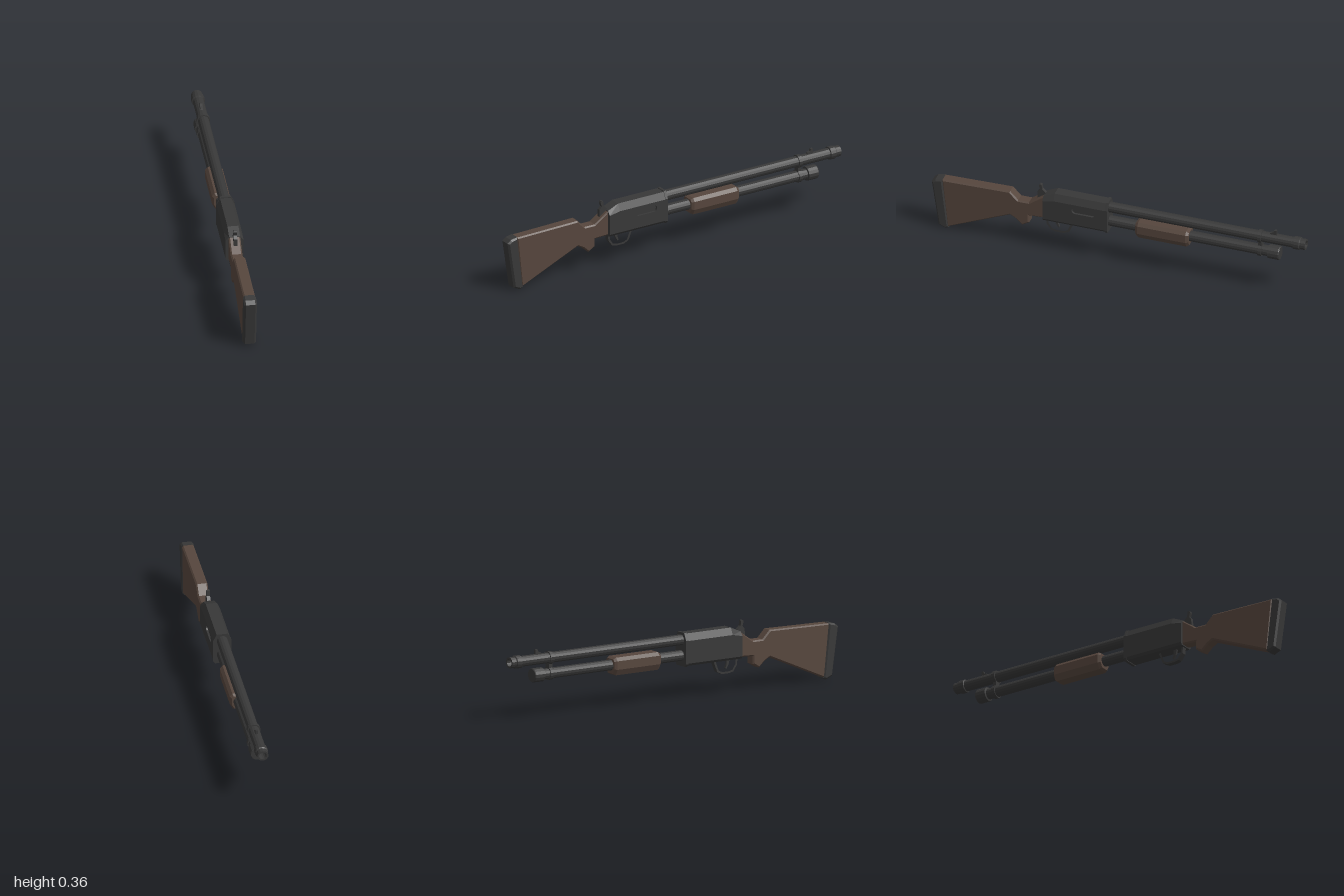
import * as THREE from 'three';

const metal = new THREE.MeshStandardMaterial({ color: 0x383838 });
metal.name = 'dark steel';
const wood = new THREE.MeshStandardMaterial({ color: 0x56463d });
wood.name = 'brown wood';

// Faceted normals for the low-poly look
function faceted(geometry) {
  const g = geometry.index ? geometry.toNonIndexed() : geometry;
  g.computeVertexNormals();
  return g;
}

function part(group, name, geometry, material) {
  const mesh = new THREE.Mesh(faceted(geometry), material);
  mesh.name = name;
  group.add(mesh);
  return mesh;
}

const outline = (pts) => new THREE.Shape(pts.map(([a, b]) => new THREE.Vector2(a, b)));

// Side profile given as [z, y], extruded across x with chamfered edges
function sideSlab(shape, halfWidth, bevel = 0) {
  const g = new THREE.ExtrudeGeometry(shape, {
    depth: 2 * (halfWidth - bevel), bevelEnabled: bevel > 0, bevelSegments: 1,
    bevelSize: bevel, bevelThickness: bevel, bevelOffset: -bevel, curveSegments: 6,
  });
  g.translate(0, 0, -(halfWidth - bevel));
  return g.rotateY(-Math.PI / 2);
}

// Cross-section given as [x, y], extruded from z0 to z1
function lengthwise(pts, z0, z1, bevel = 0) {
  const g = new THREE.ExtrudeGeometry(outline(pts), {
    depth: z1 - z0 - 2 * bevel, bevelEnabled: bevel > 0, bevelSegments: 1,
    bevelSize: bevel * 0.6, bevelThickness: bevel, bevelOffset: -bevel * 0.6,
  });
  return g.translate(0, 0, z0 + bevel);
}

// Turned part: [radius, z] from back to muzzle
function turned(profile, y) {
  const g = new THREE.LatheGeometry(profile.map(([r, z]) => new THREE.Vector2(r, -z)), 14);
  return g.rotateX(-Math.PI / 2).translate(0, y, 0);
}

function addStock(group) {
  part(group, 'stock', sideSlab(outline([
    [0.945, 0.291], [0.58, 0.298], [0.537, 0.254], [0.478, 0.254], [0.39, 0.315],
    [0.39, 0.178], [0.478, 0.174], [0.478, 0.132], [0.515, 0.11], [0.548, 0.14],
    [0.58, 0.158], [0.915, 0.013],
  ]), 0.03, 0.007), wood);
  part(group, 'buttPad', sideSlab(outline([
    [1.0, 0.27], [0.98, 0.286], [0.942, 0.294], [0.908, 0.011], [0.925, 0.002], [0.963, 0.018],
  ]), 0.033, 0.009), metal);
}

function addReceiver(group) {
  const half = [[0.028, 0.338], [0.046, 0.302], [0.046, 0.185], [0.036, 0.172]];
  const mirrored = half.map(([x, y]) => [-x, y]).reverse();
  // The left wall is notched so the slotted side panel can fill it
  const notched = [half[0], half[1], [0.034, 0.302], [0.034, 0.185], half[2], half[3]];
  part(group, 'receiver', lengthwise([...notched, ...mirrored], 0.06, 0.34), metal);

  const panel = outline([[0.06, 0.185], [0.34, 0.185], [0.34, 0.302], [0.06, 0.302]]);
  const slot = new THREE.Path();
  slot.absarc(0.135, 0.268, 0.018, -Math.PI / 2, Math.PI / 2, true);
  slot.absarc(0.225, 0.268, 0.018, Math.PI / 2, -Math.PI / 2, true);
  slot.closePath();
  panel.holes.push(slot);
  part(group, 'ejectionPortPanel', sideSlab(panel, 0.006).translate(0.04, 0, 0), metal);

  // Rear section slopes down to the stock
  const rear = lengthwise([...half, ...mirrored], 0.34, 0.4);
  const p = rear.attributes.position;
  for (let i = 0; i < p.count; i++) {
    if (p.getZ(i) > 0.39 && p.getY(i) > 0.3) p.setY(i, 0.29 + (p.getY(i) - 0.302) * 0.6);
  }
  part(group, 'receiverRear', rear, metal);

  const flange = [...half, ...mirrored].map(([x, y]) => [x * 1.03, 0.252 + (y - 0.252) * 1.05]);
  part(group, 'receiverFlange', lengthwise(flange, 0.053, 0.067), metal);
}

function addHammerAndTrigger(group) {
  part(group, 'hammer', sideSlab(outline([
    [0.395, 0.27], [0.44, 0.275], [0.438, 0.318], [0.425, 0.333], [0.432, 0.355],
    [0.427, 0.364], [0.417, 0.362], [0.413, 0.335], [0.395, 0.318],
  ]), 0.009), metal);

  const guard = outline([
    [0.392, 0.18], [0.388, 0.138], [0.365, 0.106], [0.34, 0.1],
    [0.295, 0.1], [0.268, 0.113], [0.24, 0.18],
  ]);
  guard.holes.push(new THREE.Path([
    [0.382, 0.176], [0.378, 0.142], [0.36, 0.115], [0.338, 0.11],
    [0.298, 0.11], [0.276, 0.12], [0.254, 0.176],
  ].map(([a, b]) => new THREE.Vector2(a, b))));
  part(group, 'triggerGuard', sideSlab(guard, 0.013), metal);
  part(group, 'trigger', sideSlab(outline([
    [0.35, 0.18], [0.342, 0.145], [0.328, 0.122], [0.322, 0.126], [0.33, 0.148], [0.328, 0.18],
  ]), 0.006), metal);
}

function addBarrels(group) {
  const barrelY = 0.303, tubeY = 0.222;
  part(group, 'barrel', turned([
    [0.028, 0.07], [0.028, -0.935], [0.034, -0.937], [0.034, -0.968], [0.029, -0.972],
    [0.029, -1.0], [0.02, -1.0], [0.02, -0.92], [0, -0.92],
  ], barrelY), metal);
  part(group, 'magazineTube', turned([
    [0.028, 0.07], [0.028, -0.8], [0.037, -0.802], [0.037, -0.858], [0.034, -0.862], [0, -0.862],
  ], tubeY), metal);

  // Clamp joining the two tubes
  const clamp = new THREE.Group();
  clamp.name = 'barrelClamp';
  for (const y of [barrelY, tubeY]) {
    part(clamp, 'clampRing', turned([
      [0.027, -0.746], [0.034, -0.746], [0.034, -0.766], [0.027, -0.766],
    ], y), metal);
  }
  part(clamp, 'clampBridge',
    new THREE.BoxGeometry(0.03, 0.04, 0.02).translate(0, 0.262, -0.756), metal);
  group.add(clamp);

  part(group, 'frontSight', sideSlab(outline([
    [-0.805, 0.325], [-0.81, 0.337], [-0.825, 0.342], [-0.83, 0.354],
    [-0.842, 0.354], [-0.842, 0.325],
  ]), 0.007), metal);
}

// Sliding wooden grip around the magazine tube
function addForeEnd(group) {
  const half = [[0.031, 0.263], [0.045, 0.246], [0.045, 0.202], [0.028, 0.171]];
  const section = [...half, ...half.map(([x, y]) => [-x, y]).reverse()];
  part(group, 'foreEnd', lengthwise(section, -0.38, -0.095, 0.014), wood);
}

export function createModel() {
  const group = new THREE.Group();
  group.name = 'pumpShotgun';
  addStock(group);
  addReceiver(group);
  addHammerAndTrigger(group);
  addBarrels(group);
  addForeEnd(group);
  return group;
}
